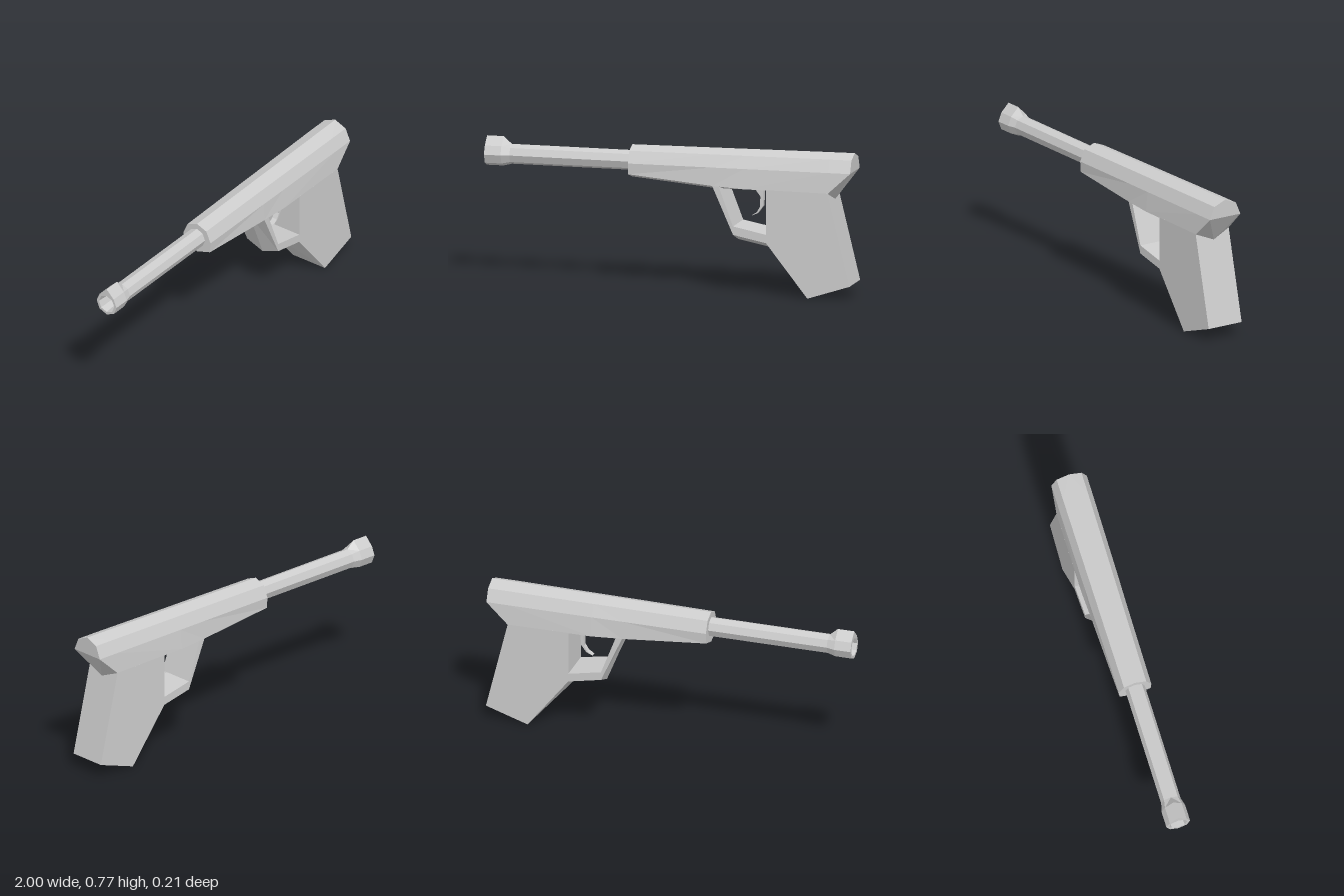
import * as THREE from 'three';

const material = new THREE.MeshStandardMaterial({ color: 0xcccccc, flatShading: true });

// Mirrors a half section ([x, y, z] from top to bottom, z >= 0) into a closed ring.
function ring(half) {
  const other = half.slice(1, -1).reverse().map(([x, y, z]) => [x, y, -z]);
  return [...half, ...other];
}

// Skins a row of half sections and closes both ends.
function loft(name, halves) {
  const rings = halves.map(ring);
  const n = rings[0].length;
  const pos = [];
  const tri = (a, b, c) => pos.push(...a, ...b, ...c);
  for (let s = 0; s < rings.length - 1; s++) {
    const a = rings[s], b = rings[s + 1];
    for (let i = 0; i < n; i++) {
      const j = (i + 1) % n;
      if (i < n / 2) { // mirrored diagonals on the two sides
        tri(a[i], a[j], b[i]);
        tri(a[j], b[j], b[i]);
      } else {
        tri(a[i], a[j], b[j]);
        tri(a[i], b[j], b[i]);
      }
    }
  }
  const first = rings[0], last = rings[rings.length - 1];
  for (let i = 1; i < n - 1; i++) {
    tri(first[0], first[i + 1], first[i]);
    tri(last[0], last[i], last[i + 1]);
  }
  const geometry = new THREE.BufferGeometry();
  geometry.setAttribute('position', new THREE.Float32BufferAttribute(pos, 3));
  geometry.computeVertexNormals();
  const mesh = new THREE.Mesh(geometry, material);
  mesh.name = name;
  return mesh;
}

// Extrudes a side outline evenly about z = 0.
function slab(name, points, depth) {
  const shape = new THREE.Shape(points.map(([x, y]) => new THREE.Vector2(x, y)));
  const geometry = new THREE.ExtrudeGeometry(shape, { depth, bevelEnabled: false });
  geometry.translate(0, 0, -depth / 2);
  const mesh = new THREE.Mesh(geometry, material);
  mesh.name = name;
  return mesh;
}

// Half of an octagon around the bore axis; peak raises the top corner.
function octagon(x, r, peak = r) {
  const half = [];
  for (let i = 0; i <= 4; i++) {
    const a = (i * Math.PI) / 4;
    half.push([x, 0.673 + Math.cos(a) * (i ? r : peak), i === 4 ? 0 : Math.sin(a) * r]);
  }
  return half;
}

export function createModel() {
  const model = new THREE.Group();

  // Barrel with hollow muzzle and raised front sight
  model.add(loft('barrel', [
    octagon(-0.88, 0.042),
    octagon(-1, 0.05),
    octagon(-1, 0.065, 0.092),
    octagon(-0.91, 0.065, 0.092),
    octagon(-0.865, 0.053),
    octagon(-0.2, 0.053),
  ]));

  // Receiver: rounded top, ridged underside, undercut rear
  const section = (x, top, shoulder, waist, lower, bottom) => [
    [x, top, 0], [x, ...shoulder], [x, ...waist], [x, ...lower], [x, bottom, 0],
  ];
  model.add(loft('receiver', [
    section(-0.21, 0.757, [0.733, 0.061], [0.67, 0.089], [0.612, 0.085], 0.585),
    section(0.25, 0.762, [0.737, 0.064], [0.672, 0.092], [0.575, 0.098], 0.545),
    section(0.42, 0.764, [0.738, 0.065], [0.673, 0.094], [0.567, 0.105], 0.565),
    [[0.88, 0.769, 0], [0.88, 0.742, 0.068], [0.88, 0.675, 0.097], [0.88, 0.565, 0.105], [0.895, 0.522, 0]],
    section(1, 0.77, [0.742, 0.068], [0.675, 0.097], [0.675, 0.097], 0.675),
  ]));

  // Grip
  model.add(slab('grip', [
    [0.545, 0.568], [0.545, 0.285], [0.77, 0], [1, 0.075], [0.88, 0.566],
  ], 0.21));

  // Trigger guard, its outer ridge running down into the grip
  const guard = (inner, outer, ridge, w) => [
    [...inner, 0], [...inner, w], [...outer, w], [...ridge, 0],
  ];
  model.add(loft('triggerGuard', [
    guard([0.285, 0.576], [0.25, 0.576], [0.245, 0.576], 0.098),
    guard([0.365, 0.365], [0.365, 0.32], [0.365, 0.28], 0.102),
    guard([0.545, 0.33], [0.545, 0.285], [0.545, 0.245], 0.105),
    guard([0.77, 0], [0.77, 0], [0.77, 0], 0.105),
  ]));

  // Curved trigger
  model.add(slab('trigger', [
    [0.42, 0.572], [0.465, 0.55], [0.49, 0.515], [0.488, 0.46], [0.47, 0.43],
    [0.44, 0.41], [0.475, 0.425], [0.505, 0.465], [0.508, 0.572],
  ], 0.03));

  return model;
}
